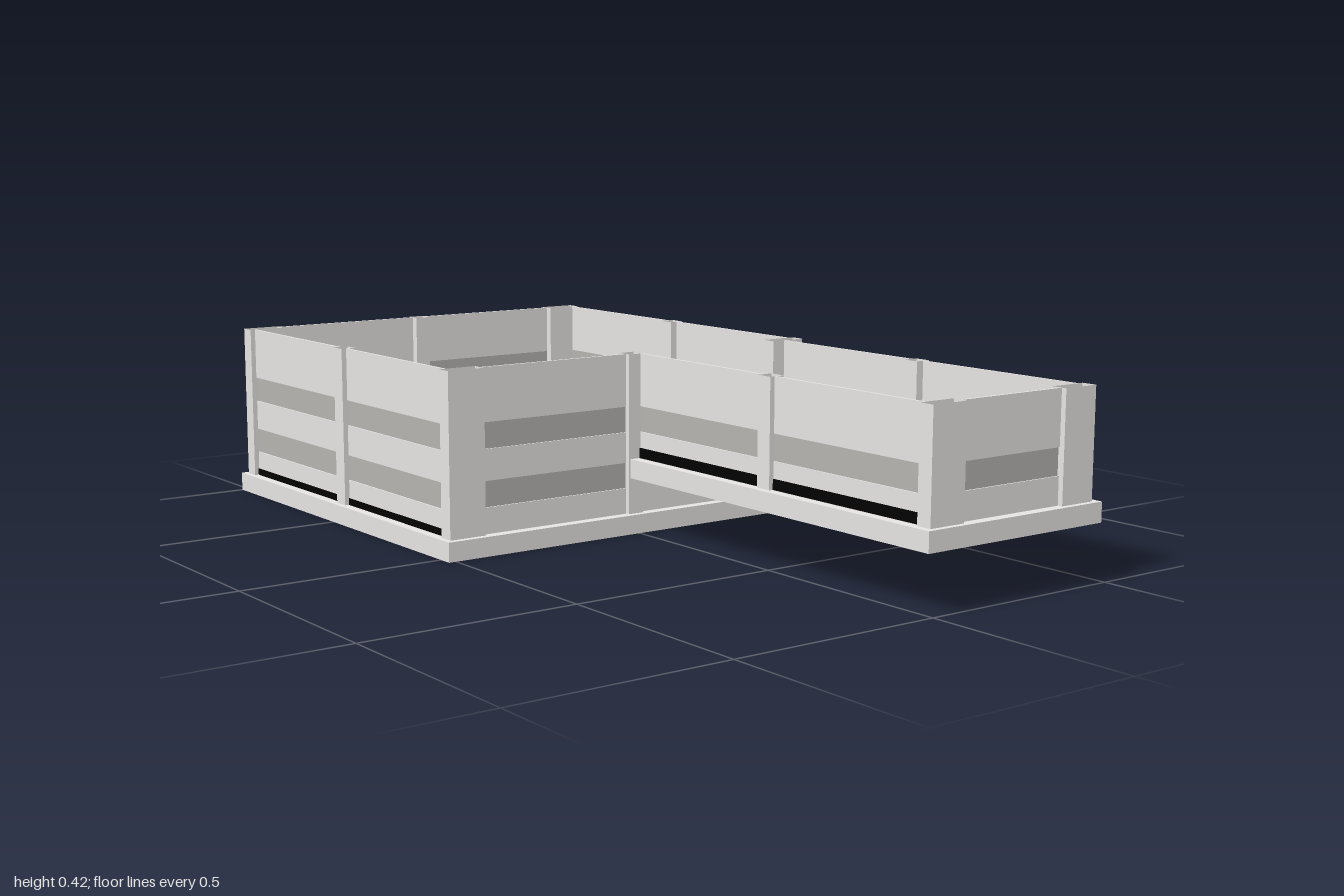
import * as THREE from 'three';

const mat = (name, color) => Object.assign(new THREE.MeshStandardMaterial({ color }), { name });

export function createModel() {
  const light = mat('pale grey frame', 0xe6e4e2);
  light.side = THREE.DoubleSide;
  const dark = mat('mid grey panel', 0xb5b3b0);
  const black = mat('black gap', 0x020202);
  const model = new THREE.Group();
  model.name = 'steppedCrate';

  // Box given by its limits on each axis
  function block(parent, name, m, x0, x1, y0, y1, z0, z1) {
    const mesh = new THREE.Mesh(new THREE.BoxGeometry(x1 - x0, y1 - y0, z1 - z0), m);
    mesh.position.set((x0 + x1) / 2, (y0 + y1) / 2, (z0 + z1) / 2);
    mesh.name = name;
    parent.add(mesh);
    return mesh;
  }

  // Base tray: pale rim around a grey floor, which is sunk above and below
  function base(name, x0, x1, y0, y1, z0, z1, leftRim) {
    const g = new THREE.Group();
    const r = 0.024;
    g.name = name;
    block(g, 'rim', light, x0, x1, y0, y1, z1 - r, z1);
    block(g, 'rim', light, x0, x1, y0, y1, z0, z0 + r);
    block(g, 'rim', light, x1 - r, x1, y0, y1, z0 + r, z1 - r);
    if (leftRim) block(g, 'rim', light, x0, x0 + r, y0, y1, z0 + r, z1 - r);
    block(g, 'floor', dark, leftRim ? x0 + r : x0, x1 - r, y0 + 0.008, y1 - 0.012, z0 + r, z1 - r);
    model.add(g);
  }

  // Hollow post, open at top and bottom
  const TOP = 0.42;
  function post(name, x0, x1, y0, z0, z1) {
    const geo = block(model, name, light, x0, x1, y0, TOP, z0, z1).geometry;
    const idx = Array.from(geo.index.array);
    geo.setIndex([...idx.slice(0, 12), ...idx.slice(24)]);
    geo.clearGroups();
  }

  // Wall: local x runs along it, local z = 0 is the outer face of its posts.
  // Each bay holds planks with thin recessed bands between them.
  function wall(name, pos, turn, y0, bands, bays, gap = 0) {
    const g = new THREE.Group();
    g.name = name;
    g.position.set(...pos);
    g.rotation.y = turn;
    for (const [a, b] of bays) {
      let y = y0;
      for (const [lo, hi] of [...bands, [TOP, TOP]]) {
        block(g, 'plank', light, a, b, y, lo, -0.018, -0.012);
        if (hi > lo) block(g, 'band', dark, a, b, lo, hi, -0.0172, -0.0155);
        y = hi;
      }
      if (gap) block(g, 'bottomGap', black, a, b, y0, y0 + gap, -0.014, -0.01);
    }
    model.add(g);
  }

  const Q = Math.PI / 2;
  const upper = [0.237, 0.297];
  const both = [[0.105, 0.165], upper];
  const W = 0.037; // post depth

  // Large lower crate
  const yL = 0.045, xL = -0.986, xR = 0.02, xM = (xL + xR) / 2;
  base('largeBase', -1, 0.035, 0, yL, -0.518, 0.518, true);
  const acrossL = [[-0.466, -0.02], [0.02, 0.466]];
  const alongL = [[-0.413, -0.02], [0.02, 0.413]];
  wall('largeFrontWall', [xM, 0, 0.505], 0, yL, both, acrossL, 0.016);
  wall('largeBackWall', [xM, 0, -0.505], Math.PI, yL, both, acrossL);
  wall('largeRightWall', [xL, 0, 0], -Q, yL, both, alongL, 0.016);
  wall('largeLeftWall', [xR, 0, 0], Q, yL, both, alongL.slice(0, 1));
  for (const x of [xL, xR - W]) {
    post('cornerPost', x, x + W, yL, 0.413, 0.505);
    post('middlePost', x, x + W, yL, -0.02, 0.02);
    post('cornerPost', x, x + W, yL, -0.505, -0.413);
  }
  post('middlePost', xM - 0.02, xM + 0.02, yL, 0.505 - W, 0.505);
  post('middlePost', xM - 0.02, xM + 0.02, yL, -0.505, W - 0.505);
  // Low step panel beside the opening
  block(model, 'stepPanel', light, 0.002, 0.008, yL, 0.135, -0.413, -0.02);

  // Small raised crate, open toward the large one
  const yS = 0.175, xS = 0.987, zS = -0.465;
  base('smallBase', -0.01, 1, 0.13, yS, -0.482, 0.016, false);
  const acrossS = [[xR, 0.46], [0.5, xS - W]];
  const mirrored = acrossS.map(([a, b]) => [-b, -a]);
  wall('smallFrontWall', [0, 0, 0], 0, yS, [upper], acrossS, 0.024);
  wall('smallBackWall', [0, 0, zS], Math.PI, yS, [upper], mirrored);
  wall('smallEndWall', [xS, 0, 0], Q, yS, [upper], [[0.092, 0.375]]);
  post('cornerPost', xS - W, xS, yS, -0.092, 0);
  post('cornerPost', xS - W, xS, yS, zS, zS + 0.09);
  post('middlePost', 0.46, 0.5, yS, -W, 0);
  post('middlePost', 0.46, 0.5, yS, zS, zS + W);

  return model;
}
